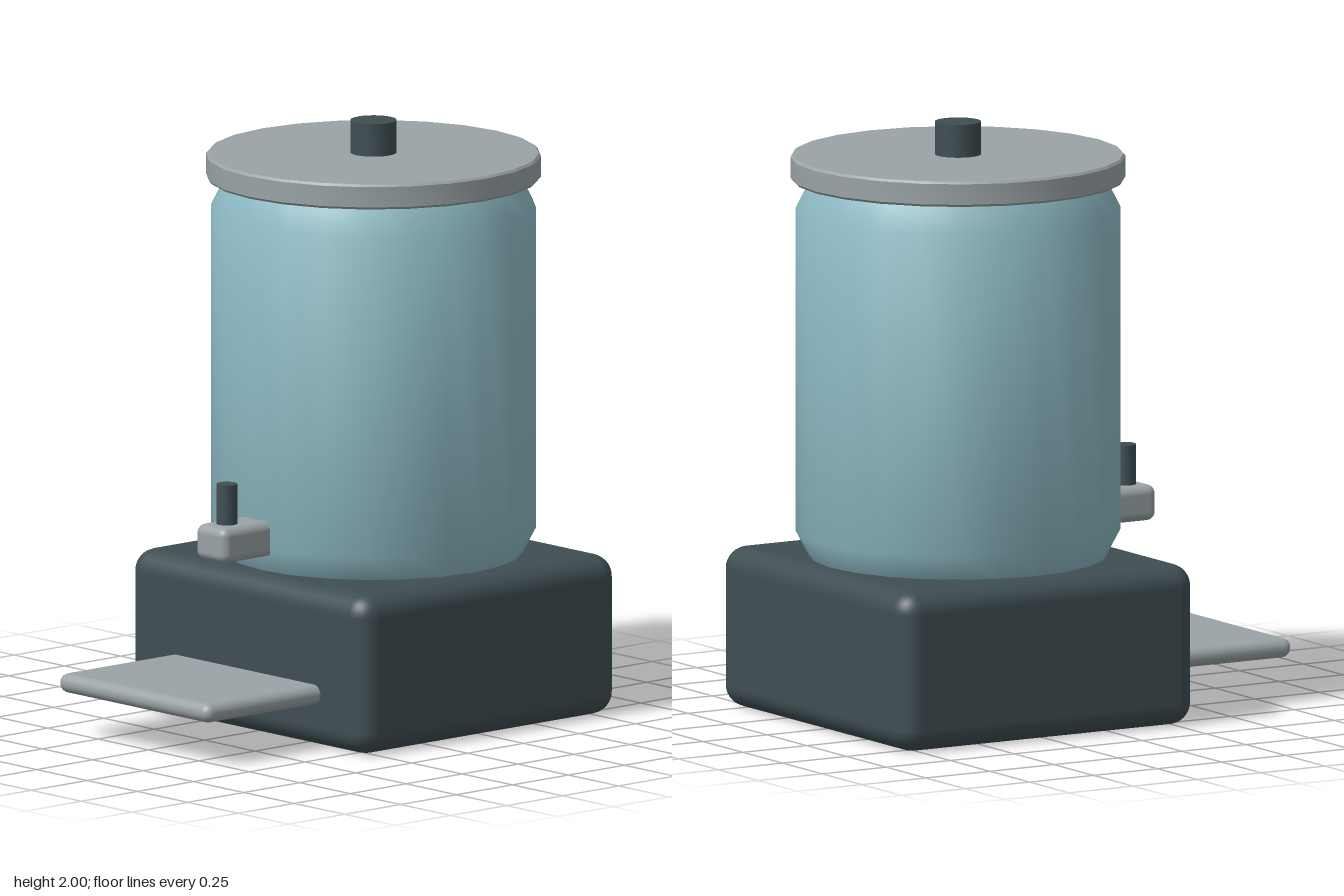
import * as THREE from 'three';
import { RoundedBoxGeometry } from 'three/addons/geometries/RoundedBoxGeometry.js';
import { toCreasedNormals } from 'three/addons/utils/BufferGeometryUtils.js';

const CENTRE_Z = -0.255; // axis of the base, tank and lid

export function createModel() {
  const group = new THREE.Group();
  const dark = new THREE.MeshStandardMaterial({ color: 0x3f4e53 });
  const metal = new THREE.MeshStandardMaterial({ color: 0x9aa3a6 });
  const glass = new THREE.MeshStandardMaterial({ color: 0x8fbcc6 });

  const add = (name, geometry, material, x, y, z) => {
    const mesh = new THREE.Mesh(geometry, material);
    mesh.name = name;
    mesh.position.set(x, y, z);
    group.add(mesh);
  };
  // Rounded box given by its ranges in y and z, centred on x
  const block = (name, material, width, y0, y1, z0, z1, radius) =>
    add(name, new RoundedBoxGeometry(width, y1 - y0, z1 - z0, 4, radius), material, 0, (y0 + y1) / 2, (z0 + z1) / 2);
  // Turned solid from [radius, height] pairs
  const turned = (name, material, points, segments, z, crease) => {
    const profile = points.map(([r, y]) => new THREE.Vector2(r, y));
    const lathe = new THREE.LatheGeometry(profile, segments);
    add(name, crease ? toCreasedNormals(lathe, crease) : lathe, material, 0, 0, z);
  };

  // Base and drip tray
  block('base', dark, 1.18, 0, 0.54, -0.83, 0.32, 0.075);
  block('dripTray', metal, 0.75, 0.15, 0.215, 0.2, 0.825, 0.032);

  // Tank with chamfered shoulder and foot
  turned('tank', glass, [[0, 0.52], [0.48, 0.52], [0.495, 0.54], [0.54, 0.625], [0.54, 1.71], [0.49, 1.81], [0, 1.81]],
    24, CENTRE_Z, 0.65);

  // Lid with softened rims, and its knob
  turned('lid', metal, [[0, 1.805], [0.55, 1.805], [0.557, 1.813], [0.557, 1.882], [0.55, 1.89], [0, 1.89]],
    24, CENTRE_Z, 0.6);
  turned('lidKnob', dark, [[0, 1.88], [0.077, 1.88], [0.077, 2], [0, 2]], 24, CENTRE_Z, 0.6);

  // Tap and its lever
  block('tap', metal, 0.15, 0.6, 0.72, 0.2, 0.48, 0.03);
  turned('tapLever', dark, [[0, 0.7], [0.035, 0.7], [0.035, 0.855], [0, 0.855]], 16, 0.4, 0.6);

  return group;
}
